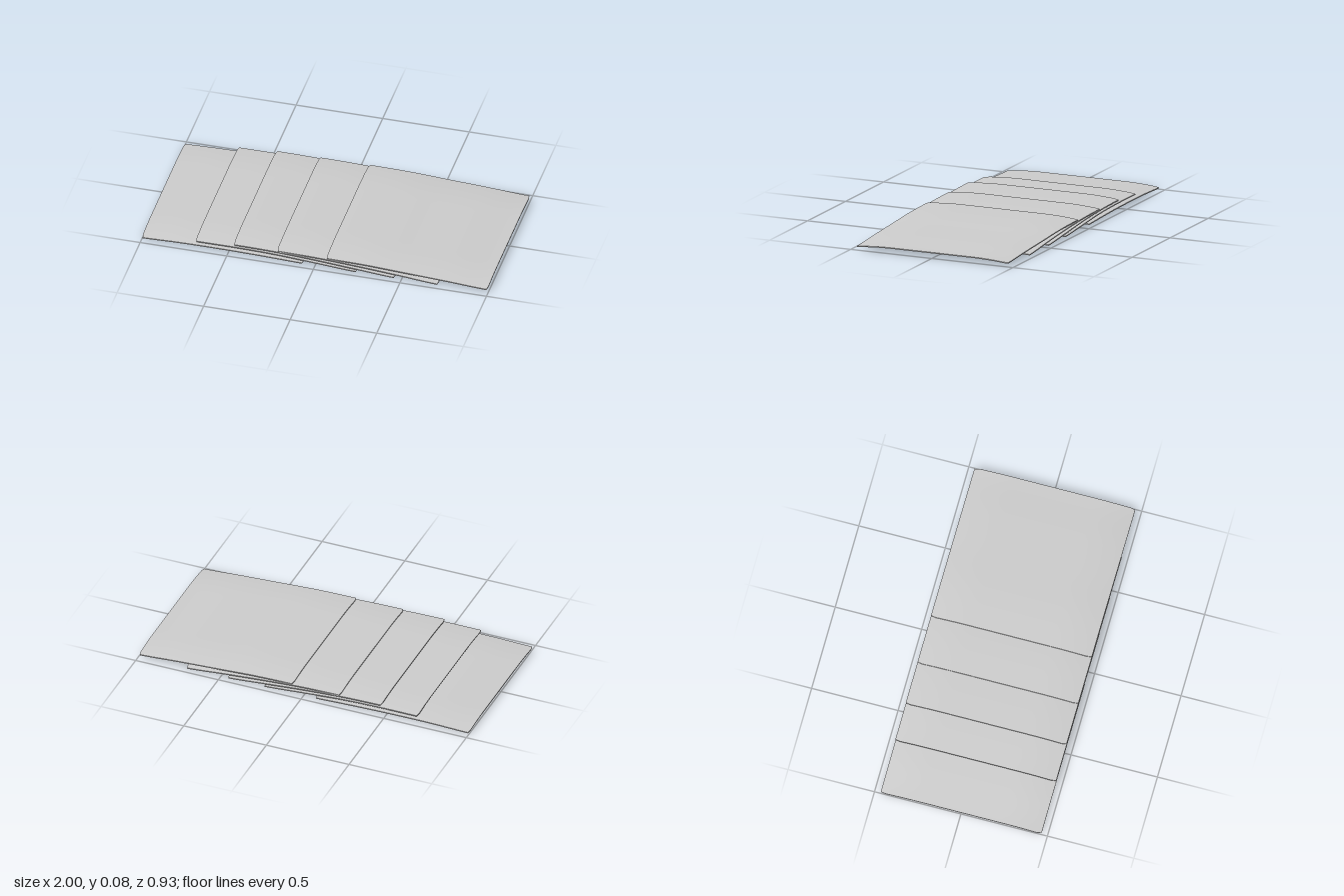
import * as THREE from 'three';

const LENGTH = 0.93, DEPTH = 0.93, THICK = 0.006;

// Each sheet: left edge x, and top heights at five even steps along its length
const SHEETS = [
  { x: -1.0, y: [0.024, 0.03, 0.03, 0.026, 0.019] },
  { x: -0.69, y: [0.056, 0.056, 0.05, 0.034, 0.018] },
  { x: -0.47, y: [0.072, 0.068, 0.055, 0.036, 0.018] },
  { x: -0.22, y: [0.074, 0.07, 0.056, 0.038, 0.018] },
  { x: 0.065, y: [0.076, 0.072, 0.06, 0.048, 0.034] },
];

// Thin slab bent along its length, drooping towards its two long edges
function bentSheet({ x, y }, material) {
  const curve = new THREE.SplineCurve(y.map((h, i) => new THREE.Vector2(i / 4, h)));
  const geo = new THREE.BoxGeometry(LENGTH, THICK, DEPTH, 32, 1, 32);
  const p = geo.attributes.position;
  for (let i = 0; i < p.count; i++) {
    const t = THREE.MathUtils.clamp(p.getX(i) / LENGTH + 0.5, 0, 1);
    const z = p.getZ(i);
    const droop = 0.012 * (Math.max(0, Math.abs(z) - 0.24) / 0.225) ** 2;
    const top = curve.getPoint(t).y - droop;
    // slightly rounded corners
    const edge = Math.abs(z) > DEPTH / 2 - 0.001 ? 0.988 : 1;
    p.setXYZ(i, x + LENGTH / 2 + p.getX(i) * edge, top - THICK / 2 + p.getY(i), z);
  }
  geo.computeVertexNormals();
  return new THREE.Mesh(geo, material);
}

export function createModel() {
  const group = new THREE.Group();
  group.name = 'fannedSheets';
  const material = new THREE.MeshStandardMaterial({ color: 0xcccccc });
  SHEETS.forEach((s, i) => {
    const sheet = bentSheet(s, material);
    sheet.name = `sheet${i + 1}`;
    group.add(sheet);
  });
  return group;
}
